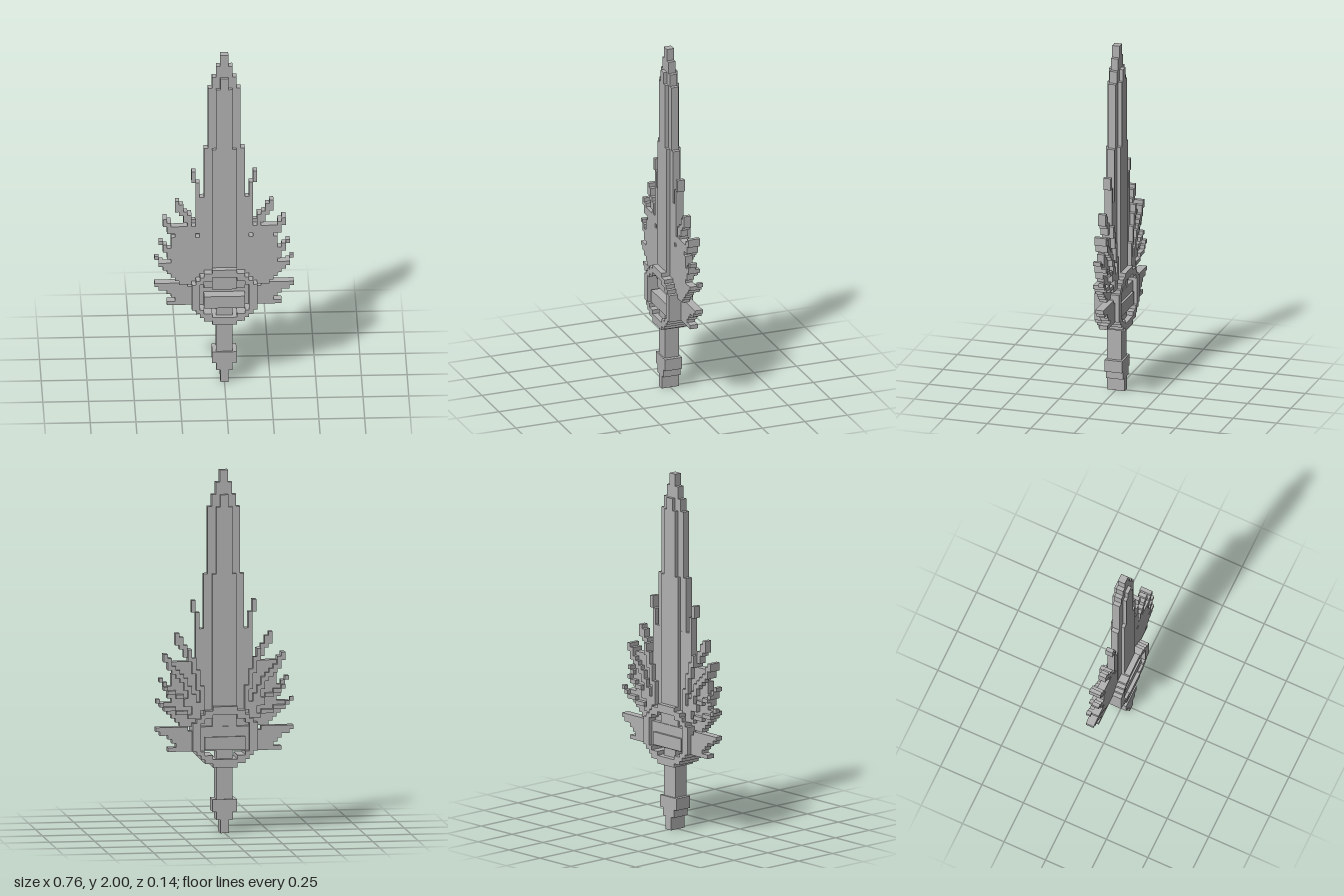
import * as THREE from 'three';

const CELL = 0.0224; // size of one block
const steel = new THREE.MeshStandardMaterial({ color: 0xb2b2b2 });
steel.name = 'grey';

const rowY = (r) => (r + 0.3) * CELL;

function box(group, name, x0, x1, y0, y1, z0, z1) {
  const mesh = new THREE.Mesh(new THREE.BoxGeometry(x1 - x0, y1 - y0, z1 - z0), steel);
  mesh.position.set((x0 + x1) / 2, (y0 + y1) / 2, (z0 + z1) / 2);
  mesh.name = name;
  group.add(mesh);
}

// Rectangles [row0, row1, column0, column1] in blocks, mirrored left and right
function blocks(parent, name, rects, z0, z1) {
  const group = new THREE.Group();
  group.name = name;
  for (const [r0, r1, c0, c1] of rects) {
    if (c0 === 0) {
      box(group, name, -c1 * CELL, c1 * CELL, rowY(r0), rowY(r1), z0, z1);
    } else {
      box(group, name + 'Left', c0 * CELL, c1 * CELL, rowY(r0), rowY(r1), z0, z1);
      box(group, name + 'Right', -c1 * CELL, -c0 * CELL, rowY(r0), rowY(r1), z0, z1);
    }
  }
  parent.add(group);
}

export function createModel() {
  const model = new THREE.Group();
  model.name = 'wingedSword';

  // Blade: thin cutting edge and thicker central ridge
  blocks(model, 'bladeEdge', [
    [86, 89, 0, 1], [83, 86, 0, 2], [80, 83, 0, 3], [63.5, 80, 0, 4], [25, 63.5, 0, 5],
  ], -0.021, 0.021);
  blocks(model, 'bladeRidge', [
    [80, 83, 0, 1], [63.5, 80, 0, 2], [25, 63.5, 0, 3],
  ], -0.042, 0.04);

  // Upper wing plate with its stepped feather tips
  const front = [-0.022, 0.02];
  blocks(model, 'innerFeather', [[54, 57, 7, 8], [50, 54, 6, 7]], ...front);
  blocks(model, 'upperFeather', [
    [46, 49, 11, 12], [45, 48, 10, 11], [43, 46, 9, 10], [42, 45, 8, 9],
  ], ...front);
  blocks(model, 'middleFeather', [
    [42, 44, 14, 15], [40, 43, 13, 14], [40, 42, 12, 13],
  ], ...front);
  blocks(model, 'outerFeather', [
    [37, 38, 15, 16], [35, 37, 14, 15], [33, 36, 13, 14], [31, 32, 15, 16], [30, 32, 13, 15],
  ], ...front);
  blocks(model, 'wingPlate', [
    [42, 50, 0, 7], [40, 42, 0, 12], [39, 40, 0, 6], [39, 40, 7, 12], [31, 39, 0, 13],
    [29, 31, 0, 14], [28, 29, 0, 13], [27, 28, 0, 12], [26, 27, 0, 11],
  ], ...front);

  // Raised feather ribs on the back of the wings
  const back = [-0.047, -0.02];
  blocks(model, 'upperRib', [
    [42, 45, 8, 9], [39, 43, 7, 8], [35, 40, 6, 7], [30, 36, 5, 6],
  ], ...back);
  blocks(model, 'middleRib', [
    [42, 44, 14, 15], [40, 43, 13, 14], [39, 41, 12, 13], [38, 40, 11, 12], [37, 39, 10, 11],
    [35, 38, 9, 10], [33, 36, 8, 9], [31, 34, 7, 8], [29, 32, 6, 7],
  ], ...back);
  blocks(model, 'outerRib', [
    [35, 36, 14, 15], [34, 35, 12, 14], [33, 34, 10, 12], [31, 33, 8, 10], [29, 31, 6, 8],
  ], ...back);
  blocks(model, 'lowerRib', [
    [32, 33, 16, 17], [31, 32, 15, 16], [30, 31, 12, 15], [29, 30, 9, 12], [28, 29, 6, 9],
  ], ...back);

  // Small lower wings
  blocks(model, 'lowerWing', [
    [25, 26, 9, 17], [24, 25, 8, 16], [23, 24, 8, 14], [22, 23, 8, 13], [21, 22, 8, 12],
    [20, 21, 8, 14], [20, 26, 0, 8],
  ], -0.047, 0);

  // Stepped guard ring, built from one quarter
  const quarter = [
    [5.5, 7.5, 0, 3], [4.5, 6.5, 3, 5], [3.5, 5.5, 5, 6], [2.5, 4.5, 6, 7], [0, 3.5, 6, 8],
  ];
  const ring = quarter.flatMap(([a, b, c, d]) => [
    [23.5 + a, 23.5 + b, c, d], [23.5 - b, 23.5 - a, c, d],
  ]);
  blocks(model, 'guardRing', ring, -0.071, 0.071);
  blocks(model, 'crossbar', [[20.3, 23.5, 0, 5]], -0.06, 0.06);

  // Grip and pommel
  blocks(model, 'grip', [[8, 20.5, 0, 2]], -0.04, 0.042);
  blocks(model, 'pommel', [[5, 8, 0, 3], [3, 5, 0, 2], [-0.3, 3, 0, 1]], -0.05, 0.05);

  return model;
}
